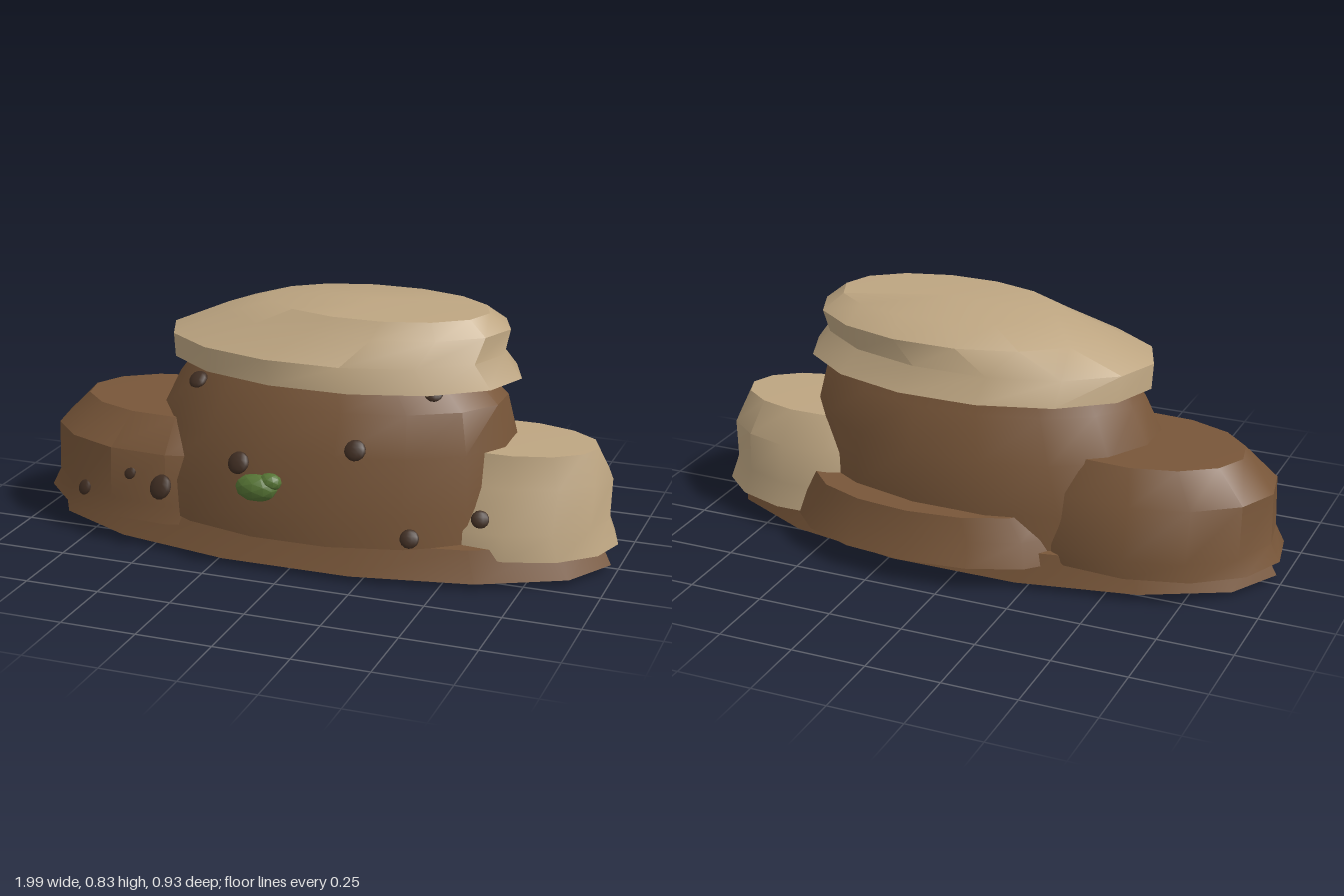
import * as THREE from 'three';
import { toCreasedNormals } from 'three/addons/utils/BufferGeometryUtils.js';

const mat = (name, color) => {
  const m = new THREE.MeshStandardMaterial({ color });
  m.name = name;
  return m;
};

// Loft of oval rings [y, xMin, xMax, zMin, zMax], closed with slightly domed ends
function rockGeometry(rings, bottomY, topY, sides, phase = 0) {
  const pos = [], index = [];
  for (const [y, x0, x1, z0, z1] of rings) {
    for (let i = 0; i < sides; i++) {
      const a = ((i + phase) / sides) * Math.PI * 2;
      pos.push((x0 + x1) / 2 + Math.cos(a) * (x1 - x0) / 2, y,
        (z0 + z1) / 2 + Math.sin(a) * (z1 - z0) / 2);
    }
  }
  const centre = (r, y) => pos.push((r[1] + r[2]) / 2, y, (r[3] + r[4]) / 2);
  const last = rings.length - 1, low = rings.length * sides, high = low + 1;
  centre(rings[0], bottomY);
  centre(rings[last], topY);
  for (let i = 0; i < sides; i++) {
    const j = (i + 1) % sides;
    for (let k = 0; k < last; k++) {
      const a = k * sides + i, b = k * sides + j;
      index.push(a, a + sides, b, b, a + sides, b + sides);
    }
    index.push(low, i, j, high, last * sides + j, last * sides + i);
  }
  const g = new THREE.BufferGeometry();
  g.setAttribute('position', new THREE.Float32BufferAttribute(pos, 3));
  g.setIndex(index);
  return toCreasedNormals(g, 0.6);
}

export function createModel() {
  const group = new THREE.Group();
  group.name = 'rockFormation';
  const brown = mat('brown rock', 0x785639);
  const sand = mat('sand rock', 0xbda581);
  const dark = mat('dark pebble', 0x3f2d22);
  const green = mat('moss green', 0x557334);

  const add = (name, geometry, material) => {
    const m = new THREE.Mesh(geometry, material);
    m.name = name;
    group.add(m);
    return m;
  };

  // Wide ground slab
  add('baseSlab', rockGeometry([
    [0.02, -0.98, 0.98, -0.37, 0.415],
    [0.12, -0.93, 0.93, -0.345, 0.38],
  ], 0, 0.17, 14), brown);

  // Tall central boulder
  add('mainBoulder', rockGeometry([
    [0.12, -0.64, 0.68, -0.355, 0.435],
    [0.24, -0.63, 0.67, -0.355, 0.435],
    [0.41, -0.57, 0.65, -0.34, 0.395],
    [0.545, -0.5, 0.62, -0.285, 0.355],
    [0.615, -0.45, 0.54, -0.255, 0.31],
  ], 0.11, 0.63, 16, 0.5), brown);

  // Overhanging pale cap, sloping on its left
  add('capRock', rockGeometry([
    [0.61, -0.54, 0.66, -0.355, 0.36],
    [0.69, -0.54, 0.605, -0.31, 0.35],
    [0.765, -0.36, 0.615, -0.295, 0.27],
    [0.817, -0.2, 0.55, -0.21, 0.225],
  ], 0.608, 0.828, 14), sand);

  // Side and back boulders
  add('rightBoulder', rockGeometry([
    [0.09, -1.0, -0.02, -0.33, 0.36],
    [0.15, -0.97, -0.04, -0.33, 0.35],
    [0.32, -0.965, -0.06, -0.29, 0.33],
    [0.425, -0.86, -0.14, -0.22, 0.24],
  ], 0.08, 0.435, 14, 0.2), brown);

  add('leftBoulder', rockGeometry([
    [0.085, 0.22, 0.995, -0.285, 0.28],
    [0.17, 0.23, 0.965, -0.27, 0.275],
    [0.3, 0.24, 0.965, -0.25, 0.205],
    [0.405, 0.3, 0.92, -0.18, 0.175],
  ], 0.08, 0.412, 14), sand);

  add('backBoulder', rockGeometry([
    [0.08, -0.36, 0.62, -0.465, 0.02],
    [0.16, -0.34, 0.6, -0.435, 0.02],
    [0.233, -0.28, 0.56, -0.415, 0],
  ], 0.075, 0.24, 14, 0.5), brown);

  // Flattened pebbles set into the front: x, y, z, radius
  const pebbleGeometry = new THREE.SphereGeometry(1, 10, 7);
  [
    [-0.77, 0.155, 0.285, 0.027],
    [-0.58, 0.245, 0.325, 0.024],
    [-0.45, 0.225, 0.37, 0.042],
    [-0.155, 0.36, 0.41, 0.037],
    [-0.34, 0.585, 0.295, 0.032],
    [0.225, 0.435, 0.37, 0.035],
    [0.41, 0.165, 0.378, 0.031],
    [0.61, 0.22, 0.275, 0.029],
    [0.44, 0.607, 0.24, 0.03],
  ].forEach(([x, y, z, r], i) => {
    const p = add('pebble' + (i + 1), pebbleGeometry, dark);
    p.position.set(x, y, z);
    p.lookAt(x * 1.5, y + (y > 0.5 ? 1.2 : 0.55), z + 1);
    p.scale.set(r, r, r * 0.42);
  });

  // Moss clump
  const mossGeometry = toCreasedNormals(new THREE.IcosahedronGeometry(1, 1), 0.4);
  [
    [-0.09, 0.287, 0.42, 0.072, 0.046, 0.042],
    [-0.045, 0.31, 0.415, 0.04, 0.03, 0.03],
  ].forEach(([x, y, z, sx, sy, sz], i) => {
    const m = add('moss' + (i + 1), mossGeometry, green);
    m.position.set(x, y, z);
    m.scale.set(sx, sy, sz);
  });

  return group;
}
